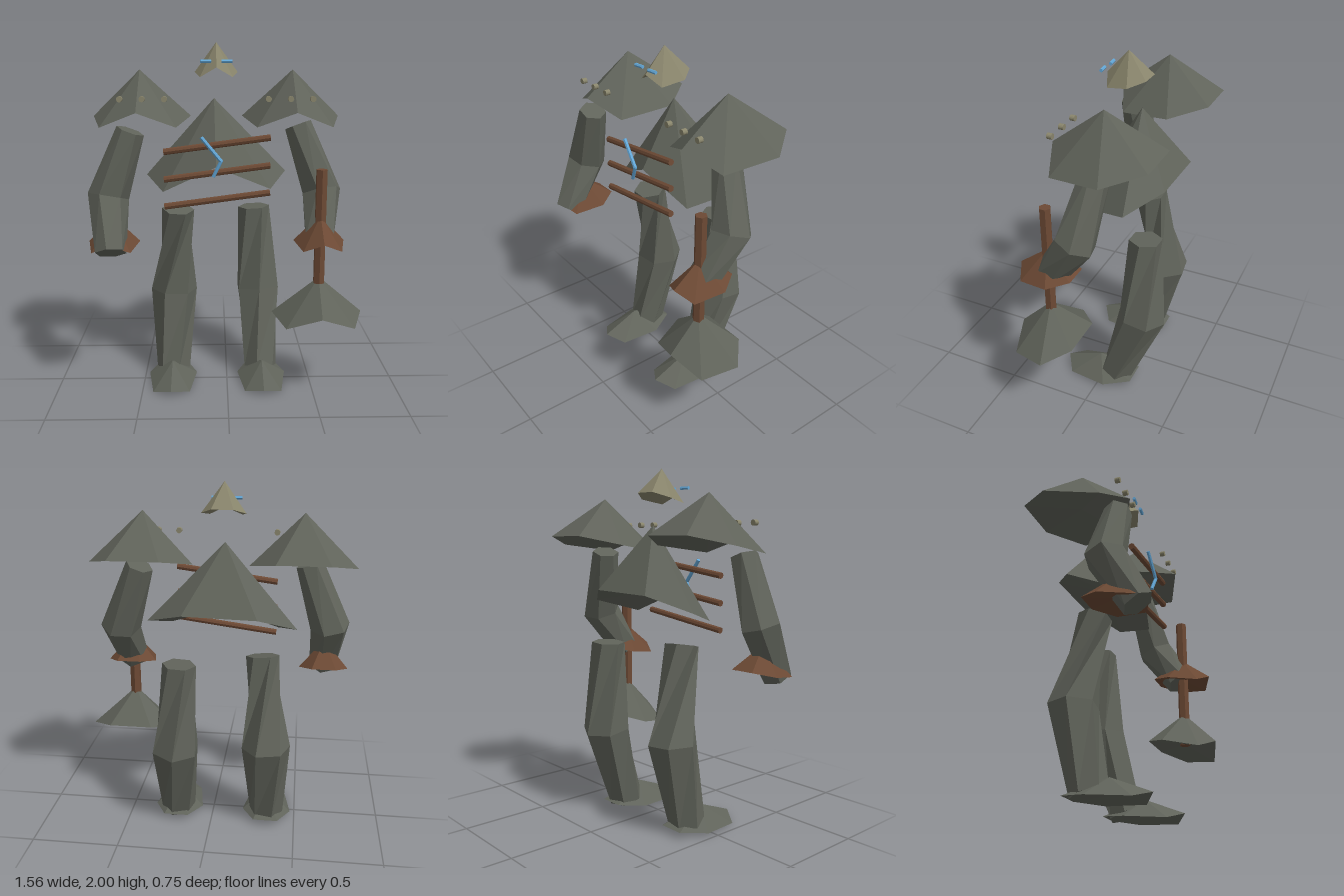
import * as THREE from 'three';

const mat = (name, color) => Object.assign(new THREE.MeshStandardMaterial({ color, flatShading: true }), { name });
const V = (x, y, z) => new THREE.Vector3(x, y, z);

export function createModel() {
  const model = new THREE.Group();
  model.name = 'stoneGolem';
  const stone = mat('darkStone', 0x60635a);
  const pale = mat('paleStone', 0x89856c);
  const wood = mat('rustyWood', 0x6c4934);
  const blue = mat('glowBlue', 0x64a8d8);

  function add(name, geometry, material) {
    const mesh = new THREE.Mesh(geometry, material);
    mesh.name = name;
    model.add(mesh);
    return mesh;
  }

  function facets(points) {
    const g = new THREE.BufferGeometry().setFromPoints(points);
    g.computeVertexNormals();
    return g;
  }

  // Seven-sided pointed boulder; rim entries are x, height and z as fractions of its size
  const half = [[0.74, 0, 0.69], [1, 0.13, -0.34], [0.49, 0.29, -1]];
  const rim = [[0, 0.28, 1], ...half, ...half.map(([x, y, z]) => [-x, y, z]).reverse()];
  function boulder(name, material, [x, z], [low, top], hx, hz) {
    const ring = rim.map(([a, b, c]) => V(a * hx, b * (top - low), c * hz));
    const apex = V(0, top - low, 0), base = V(0, 0.28 * (top - low), 0), pts = [];
    ring.forEach((p, i) => {
      const q = ring[(i + 1) % ring.length];
      pts.push(apex, p, q, base, q, p);
    });
    const mesh = add(name, facets(pts), material);
    mesh.position.set(x, low, z);
    return mesh;
  }

  // Limb with three faceted rings, listed from top to bottom, each turned by its twist
  function limb(name, centres, radii, twists) {
    const n = 6, pts = [], down = V(0, -1, 0);
    const c = centres.map(p => V(...p));
    const rings = c.map((p, i) => {
      const dir = c[Math.min(i + 1, 2)].clone().sub(c[Math.max(i - 1, 0)]).normalize();
      const q = new THREE.Quaternion().setFromUnitVectors(down, dir);
      return Array.from({ length: n }, (_, k) => {
        const a = (k / n) * Math.PI * 2 + Math.PI / n + twists[i];
        return V(Math.sin(a) * radii[i], 0, Math.cos(a) * radii[i]).applyQuaternion(q).add(p);
      });
    });
    for (let k = 0; k < n; k++) {
      const m = (k + 1) % n;
      for (let i = 0; i < 2; i++) {
        const [u, v] = [rings[i], rings[i + 1]];
        pts.push(u[k], v[k], u[m], u[m], v[k], v[m]);
      }
      pts.push(c[0], rings[0][k], rings[0][m], c[2], rings[2][m], rings[2][k]);
    }
    add(name, facets(pts), stone);
  }

  // Straight rod between two points
  function rod(name, material, a, b, r, sides = 6) {
    const p = V(...a), q = V(...b), d = q.clone().sub(p);
    const mesh = add(name, new THREE.CylinderGeometry(r, r, d.length(), sides), material);
    mesh.position.copy(p).add(q).multiplyScalar(0.5);
    mesh.quaternion.setFromUnitVectors(V(0, 1, 0), d.normalize());
  }

  // Torso, head and shoulders
  boulder('torso', stone, [-0.059, -0.1], [1.18, 1.69], 0.413, 0.225).rotation.z = 0.025;
  boulder('head', pale, [-0.059, -0.025], [1.812, 2], 0.122, 0.123);
  boulder('rightShoulder', stone, [-0.493, -0.09], [1.542, 1.85], 0.285, 0.29);
  boulder('leftShoulder', stone, [0.376, -0.09], [1.542, 1.85], 0.284, 0.29);

  // Arms and hands
  const armRadii = [0.078, 0.115, 0.088], armTwist = [0, 0.2, 0.4];
  limb('rightArm', [[-0.528, 1.53, 0.145], [-0.662, 1.165, 0.13], [-0.637, 0.882, 0.293]], armRadii, armTwist);
  limb('leftArm', [[0.41, 1.54, -0.065], [0.547, 1.165, 0], [0.518, 0.92, 0.17]], armRadii, armTwist);
  boulder('rightHand', wood, [-0.636, 0.187], [0.884, 1.062], 0.143, 0.168);
  boulder('leftHand', wood, [0.518, 0.187], [0.884, 1.062], 0.143, 0.168);

  // Legs and feet
  const legRadii = [0.095, 0.14, 0.102];
  limb('rightLeg', [[-0.286, 1.045, -0.08], [-0.322, 0.52, -0.18], [-0.328, 0.045, -0.075]], legRadii, [0, -0.9, -1.2]);
  limb('leftLeg', [[0.168, 1.028, -0.235], [0.198, 0.51, -0.235], [0.21, 0.045, -0.08]], legRadii, [0, -0.5, -0.8]);
  boulder('rightFoot', stone, [-0.329, 0.03], [0, 0.125], 0.145, 0.225);
  boulder('leftFoot', stone, [0.211, 0.03], [0, 0.125], 0.145, 0.225);

  // Hammer
  rod('hammerHandle', wood, [0.518, 0.505, 0.185], [0.518, 1.32, 0.185], 0.033);
  boulder('hammerHead', stone, [0.518, 0.185], [0.44, 0.705], 0.26, 0.19);

  // Slanted rods across the chest
  for (const y of [1.11, 1.262, 1.415]) rod('chestRod', wood, [-0.35, y, 0.156], [0.236, y + 0.077, 0.156], 0.018, 8);

  // Bent chest mark and eyes
  rod('chestMarkUpper', blue, [-0.143, 1.497, 0.185], [-0.033, 1.365, 0.195], 0.011);
  rod('chestMarkLower', blue, [-0.033, 1.372, 0.195], [-0.078, 1.28, 0.182], 0.01);
  for (const x of [-0.116, -0.002]) rod('eye', blue, [x - 0.029, 1.898, 0.1], [x + 0.029, 1.898, 0.094], 0.01);

  // Shoulder studs
  for (const c of [-0.46, 0.342]) {
    for (const d of [-0.12, 0, 0.12]) rod('shoulderStud', pale, [c + d, 1.7, 0.148], [c + d, 1.7, 0.176], 0.016, 16);
  }
  return model;
}
